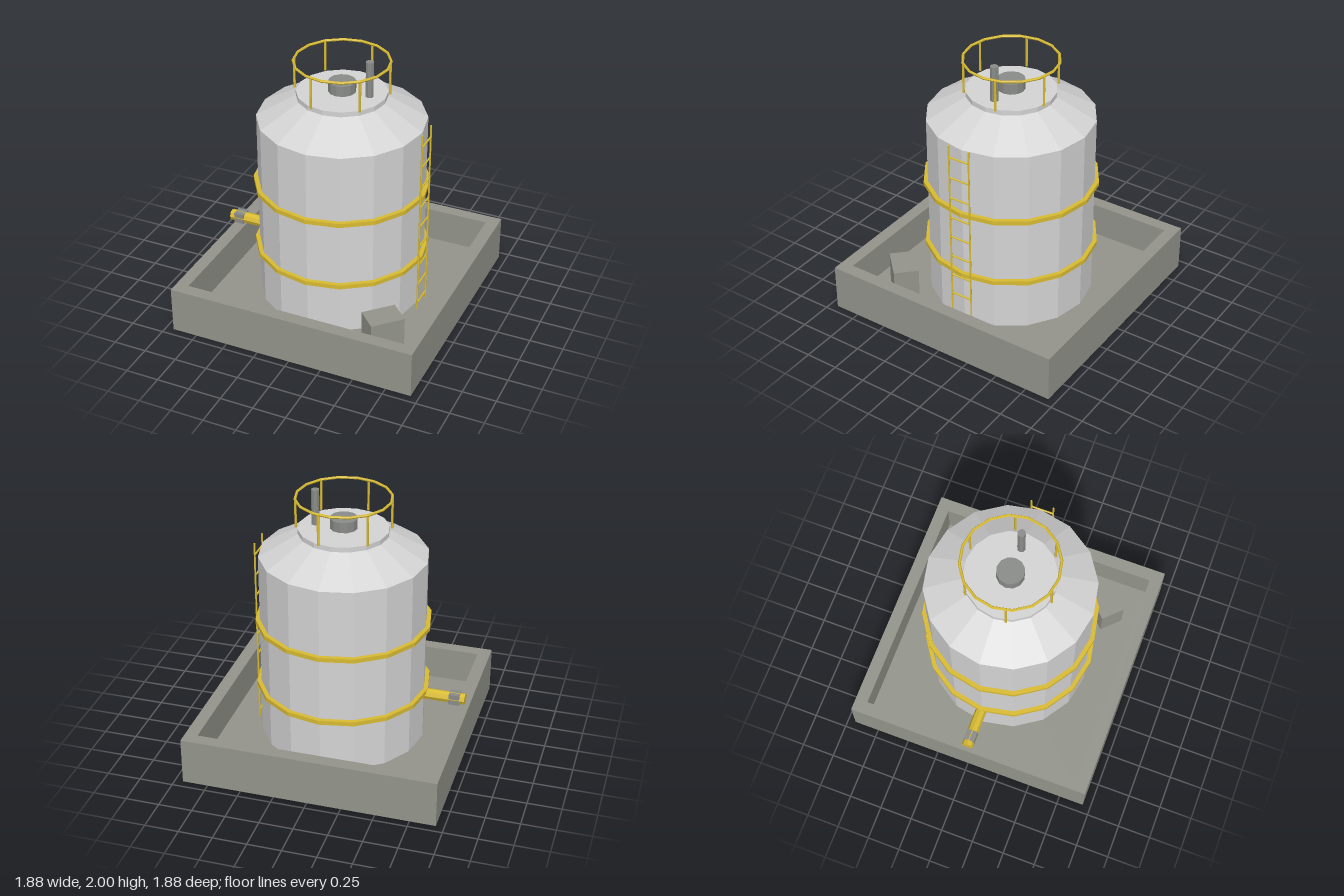
import * as THREE from 'three';

const mat = (name, color) => {
  const m = new THREE.MeshStandardMaterial({ color, flatShading: true });
  m.name = name;
  return m;
};

export function createModel() {
  const model = new THREE.Group();
  model.name = 'storageTank';
  const concrete = mat('concrete grey', 0x93948b);
  const shell = mat('pale tank grey', 0xd4d4d4);
  const yellow = mat('safety yellow', 0xd8bb32);
  const steel = mat('steel grey', 0x8a8c89);

  const add = (name, geometry, material, x = 0, y = 0, z = 0, parent = model) => {
    const mesh = new THREE.Mesh(geometry, material);
    mesh.name = name;
    mesh.position.set(x, y, z);
    parent.add(mesh);
    return mesh;
  };
  const group = (name) => {
    const g = new THREE.Group();
    g.name = name;
    model.add(g);
    return g;
  };
  const lathe = (points, sides) =>
    new THREE.LatheGeometry(points.map(([r, y]) => new THREE.Vector2(r, y)), sides);
  const square = (Type, h) => new Type([[-h, -h], [h, -h], [h, h], [-h, h]].map(([x, y]) => new THREE.Vector2(x, y)));

  // Containment basin: four walls around a slab
  const floorY = 0.09;
  const outline = square(THREE.Shape, 0.94);
  outline.holes.push(square(THREE.Path, 0.845));
  const walls = new THREE.ExtrudeGeometry(outline, { depth: 0.355, bevelEnabled: false });
  walls.rotateX(-Math.PI / 2);
  add('basinWalls', walls, concrete);
  add('basinFloor', new THREE.BoxGeometry(1.69, floorY, 1.69), concrete, 0, floorY / 2);

  // Sump block set diagonally in the front corner
  const sumpHeight = 0.335 - floorY;
  const sump = add('sumpBlock', new THREE.BoxGeometry(0.256, sumpHeight, 0.185), concrete,
    0.576, floorY + sumpHeight / 2, 0.577);
  sump.rotation.y = Math.PI / 4;

  // Tank shell with conical shoulder and neck
  add('tankShell', lathe([
    [0, floorY], [0.613, floorY], [0.613, 1.532], [0.327, 1.696], [0.327, 1.733], [0, 1.733],
  ], 16), shell);

  // Reinforcing bands
  for (const y of [0.494, 1.013]) {
    add('tankBand', lathe([
      [0.605, -0.016], [0.645, -0.016], [0.645, 0.016], [0.605, 0.016], [0.605, -0.016],
    ], 16), yellow, 0, y);
  }

  // Hatch and vent on the roof
  add('hatch', new THREE.CylinderGeometry(0.1, 0.1, 0.08, 12), steel, 0, 1.771);
  add('ventPipe', new THREE.CylinderGeometry(0.03, 0.03, 0.27, 8), steel, 0.21, 1.865);

  // Guard rail
  const guard = group('guardRail');
  const ring = new THREE.TorusGeometry(0.343, 0.01, 6, 16);
  ring.rotateX(Math.PI / 2);
  add('topRail', ring, yellow, 0, 1.966, 0, guard);
  for (let i = 0; i < 6; i++) {
    const a = (-15 + 60 * i) * Math.PI / 180;
    add('railPost', new THREE.CylinderGeometry(0.009, 0.009, 0.235, 6), yellow,
      0.34 * Math.cos(a), 1.85, 0.34 * Math.sin(a), guard);
  }

  // Ladder on the left side
  const ladder = group('ladder');
  const top = 1.557;
  for (const z of [-0.083, 0.083]) {
    add('ladderRail', new THREE.CylinderGeometry(0.007, 0.007, top - floorY, 6), yellow,
      0.645, (top + floorY) / 2, z, ladder);
  }
  const rung = new THREE.CylinderGeometry(0.007, 0.007, 0.166, 6);
  rung.rotateX(Math.PI / 2);
  for (let i = 0; i < 9; i++) add('ladderRung', rung, yellow, 0.645, 1.463 - i * 0.165, 0, ladder);

  // Outlet pipe with valve on the right side
  const pipe = new THREE.CylinderGeometry(0.042, 0.042, 0.345, 8);
  pipe.rotateZ(Math.PI / 2);
  add('outletPipe', pipe, yellow, -0.7525, 0.465);
  add('outletValve', new THREE.BoxGeometry(0.08, 0.081, 0.081), steel, -0.848, 0.465);

  return model;
}
